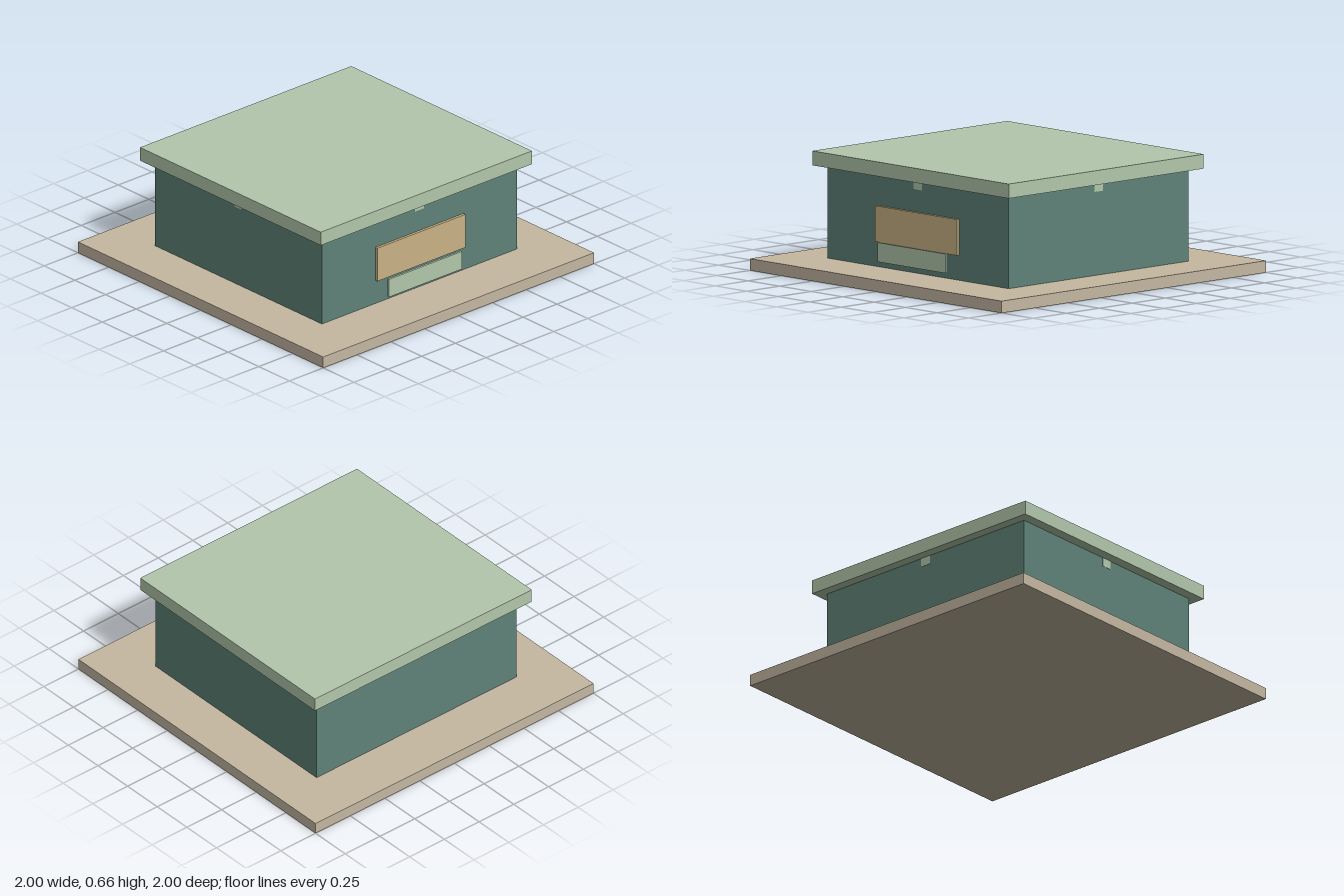
import * as THREE from 'three';

export function createModel() {
  const model = new THREE.Group();
  model.name = 'flatRoofBuilding';

  const material = (name, color) => {
    const m = new THREE.MeshStandardMaterial({ color });
    m.name = name;
    return m;
  };
  const sand = material('sand', 0xc5b8a2);
  const teal = material('teal', 0x5f8378);
  const paleGreen = material('paleGreen', 0xb3c8ac);
  const tan = material('tan', 0xcab486);

  // Box given by its size and the centre of its underside
  const box = (name, mat, w, h, d, y, x = 0, z = 0) => {
    const mesh = new THREE.Mesh(new THREE.BoxGeometry(w, h, d), mat);
    mesh.name = name;
    mesh.position.set(x, y + h / 2, z);
    model.add(mesh);
    return mesh;
  };

  // Main volumes
  box('groundSlab', sand, 2, 0.066, 2, 0);
  box('walls', teal, 1.44, 0.514, 1.36, 0.066);
  box('roof', paleGreen, 1.56, 0.08, 1.474, 0.58);

  // Front sign board and the smaller panel standing off below it
  box('signBoard', tan, 0.65, 0.2, 0.016, 0.205, 0, 0.688);
  box('lowerPanel', paleGreen, 0.54, 0.107, 0.013, 0.104, 0, 0.7235);

  // Thin beam ends under the eaves, centred on each wall
  for (const side of [-1, 1]) {
    box('beamEndFrontBack', paleGreen, 0.065, 0.05, 0.003, 0.53, 0, side * 0.6805);
    box('beamEndSide', paleGreen, 0.003, 0.05, 0.065, 0.53, side * 0.7205, 0);
  }

  return model;
}
